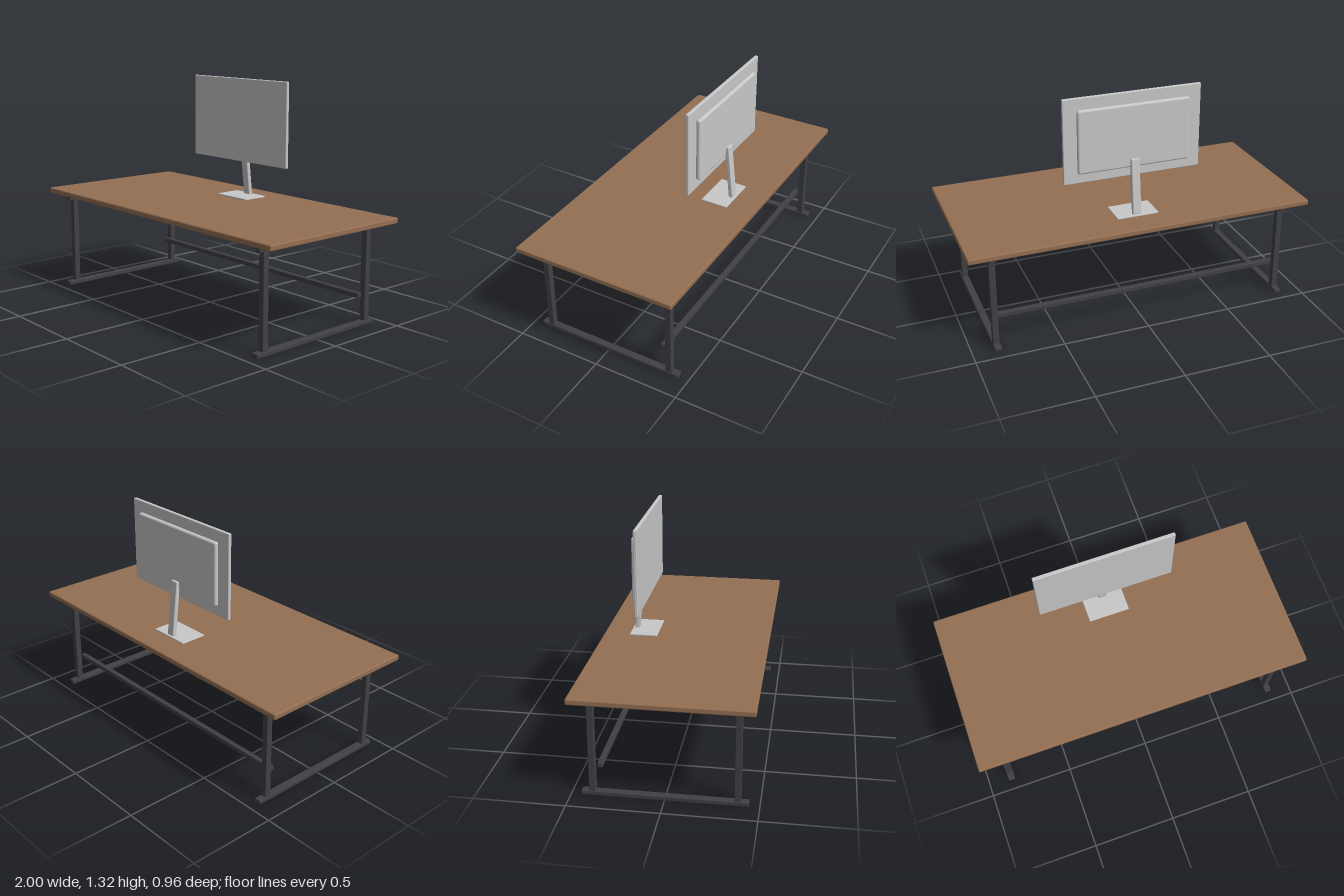
import * as THREE from 'three';
import { RoundedBoxGeometry } from 'three/addons/geometries/RoundedBoxGeometry.js';

export function createModel() {
  const wood = new THREE.MeshStandardMaterial({ name: 'brown wood', color: 0x946f52 });
  const steel = new THREE.MeshStandardMaterial({ name: 'dark steel', color: 0x414045 });
  const silver = new THREE.MeshStandardMaterial({ name: 'light grey', color: 0xc8c8c8 });

  const model = new THREE.Group();
  model.name = 'deskWithMonitor';

  // Rounded bar given by its size, centre and edge radius
  function bar(parent, name, material, size, centre, radius) {
    const mesh = new THREE.Mesh(new RoundedBoxGeometry(...size, 3, radius), material);
    mesh.name = name;
    mesh.position.set(...centre);
    parent.add(mesh);
    return mesh;
  }

  // Desktop
  bar(model, 'desktop', wood, [2, 0.033, 0.956], [0, 0.597, 0], 0.008);

  // Two end frames: foot, top rail and a pair of legs each
  for (const side of [-1, 1]) {
    const frame = new THREE.Group();
    frame.name = side > 0 ? 'leftFrame' : 'rightFrame';
    frame.position.x = side * 0.86;
    bar(frame, 'foot', steel, [0.042, 0.028, 0.89], [0, 0.014, 0], 0.007);
    bar(frame, 'topRail', steel, [0.036, 0.038, 0.86], [0, 0.561, 0], 0.005);
    for (const end of [-1, 1]) {
      bar(frame, end > 0 ? 'frontLeg' : 'backLeg', steel, [0.036, 0.53, 0.036], [0, 0.285, end * 0.385], 0.004);
    }
    model.add(frame);
  }

  // Low stretcher along the back
  bar(model, 'stretcher', steel, [1.72, 0.029, 0.03], [0, 0.172, -0.344], 0.005);

  // Monitor: thin panel, raised back housing, stand
  const monitor = new THREE.Group();
  monitor.name = 'monitor';
  bar(monitor, 'screenPanel', silver, [0.8, 0.49, 0.02], [0, 1.075, -0.228], 0.005);
  bar(monitor, 'backHousing', silver, [0.65, 0.366, 0.028], [0, 1.074, -0.251], 0.012);
  bar(monitor, 'standBase', silver, [0.246, 0.011, 0.16], [0, 0.618, -0.245], 0.004);
  const arm = bar(monitor, 'standArm', silver, [0.05, 0.325, 0.026], [0, 0.782, -0.284], 0.006);
  arm.rotation.x = Math.atan2(0.034, 0.325);
  model.add(monitor);

  return model;
}
